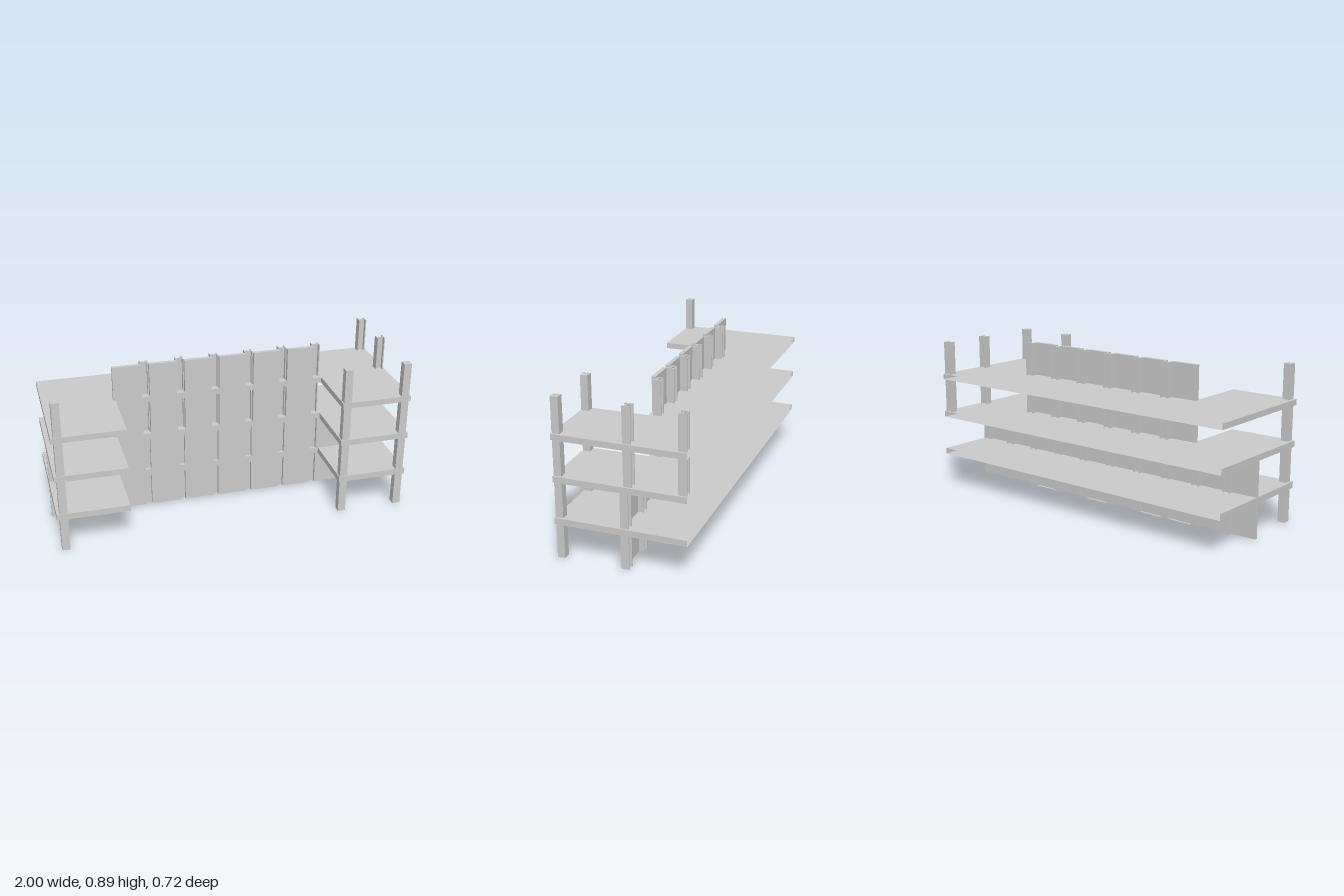
import * as THREE from 'three';

const material = new THREE.MeshStandardMaterial({ color: 0xcccccc, flatShading: true, side: THREE.DoubleSide });

function add(parent, geometry, name) {
  const mesh = new THREE.Mesh(geometry, material);
  mesh.name = name;
  parent.add(mesh);
  return mesh;
}

// Box given by its limits on each axis
function block(parent, name, [x0, x1], [y0, y1], [z0, z1]) {
  const mesh = add(parent, new THREE.BoxGeometry(x1 - x0, y1 - y0, z1 - z0), name);
  mesh.position.set((x0 + x1) / 2, (y0 + y1) / 2, (z0 + z1) / 2);
  return mesh;
}

// Upright H-section: two side flanges and a web between them
function hColumn(parent, name, x, [y0, y1], [z0, z1]) {
  const group = new THREE.Group();
  group.name = name;
  const half = 0.0225, t = 0.006, mid = (z0 + z1) / 2;
  block(group, 'flange', [x - half, x - half + t], [y0, y1], [z0, z1]);
  block(group, 'flange', [x + half - t, x + half], [y0, y1], [z0, z1]);
  block(group, 'web', [x - half + t, x + half - t], [y0, y1], [mid - t / 2, mid + t / 2]);
  parent.add(group);
}

// U-shaped floor: top and bottom skins with edge strips, open along the back
function floorSlab(parent, y0, y1) {
  const group = new THREE.Group();
  group.name = 'floorSlab';
  const outline = [
    [1, -0.36], [1, 0.36], [0.6, 0.36], [0.6, 0],
    [-0.6, 0], [-0.6, 0.36], [-1, 0.36], [-1, -0.36],
  ];
  const shape = new THREE.Shape(outline.map(([x, z]) => new THREE.Vector2(x, -z)));
  for (const [y, name] of [[y1, 'topSkin'], [y0, 'bottomSkin']]) {
    const skin = new THREE.ShapeGeometry(shape);
    skin.rotateX(-Math.PI / 2);
    if (y === y0) {
      // turn the lower skin to face down
      const index = skin.index.array;
      for (let i = 0; i < index.length; i += 3) [index[i], index[i + 1]] = [index[i + 1], index[i]];
      skin.computeVertexNormals();
    }
    add(group, skin, name).position.y = y;
  }
  for (let i = 0; i < outline.length - 1; i++) {
    const [ax, az] = outline[i], [bx, bz] = outline[i + 1];
    const dx = bx - ax, dz = bz - az;
    const edge = add(group, new THREE.PlaneGeometry(Math.hypot(dx, dz), y1 - y0), 'edgeStrip');
    edge.position.set((ax + bx) / 2, (y0 + y1) / 2, (az + bz) / 2);
    edge.rotation.y = Math.atan2(dz, -dx);
  }
  parent.add(group);
}

export function createModel() {
  const model = new THREE.Group();
  model.name = 'buildingFrame';

  const slabs = [[0.2, 0.235], [0.433, 0.467], [0.664, 0.697]];
  slabs.forEach(([y0, y1]) => floorSlab(model, y0, y1));
  const storeys = [[0.005, 0.2], [0.235, 0.433], [0.467, 0.664], [0.697, 0.892]];

  const columnX = (k) => 0.967 - k * 0.1995;
  const half = 0.0225;

  storeys.forEach((y, level) => {
    const lower = level < 2;

    // Square columns at the front of the wings
    for (const x of [-0.962, 0.628, 0.967]) {
      block(model, 'frontColumn', [x - 0.022, x + 0.022], y, [0.315, 0.357]);
    }

    // Steel columns behind the wall line
    for (let k = lower ? 0 : 2; k < (lower ? 10 : 8); k++) {
      const covered = k < 2 || k > 7;
      hColumn(model, 'wallColumn', columnX(k), y, lower ? [-0.045, covered ? -0.005 : 0] : [-0.067, -0.022]);
    }

    // Wall panels in the middle bays
    for (let k = 2; k < 8; k++) {
      const right = columnX(k) - half;
      const left = k < 7 ? columnX(k + 1) + half : -0.612;
      if (level === 0 && k === 5) {
        // bay with the door
        const d0 = -0.145, d1 = -0.075, top = 0.15;
        block(model, 'wallPanel', [left, d0], y, [-0.022, 0]);
        block(model, 'wallPanel', [d1, right], y, [-0.022, 0]);
        block(model, 'wallPanel', [d0, d1], [top, y[1]], [-0.022, 0]);
        block(model, 'door', [d0, d1], [y[0], top], [-0.019, -0.003]);
      } else {
        block(model, 'wallPanel', [left, right], y, [-0.022, 0]);
      }
    }

    if (lower) {
      // Unbroken walls under the wings
      block(model, 'wingWall', [-1, -0.803], y, [-0.015, 0]);
      block(model, 'wingWall', [-0.803, -0.612], y, [-0.015, 0]);
      block(model, 'wingWall', [columnX(2) + half, 0.988], y, [-0.015, 0]);
    } else {
      // Upper side columns at one end
      hColumn(model, 'sideColumn', 0.967, y, [-0.067, -0.022]);
      hColumn(model, 'sideColumn', 0.967, y, [-0.355, -0.311]);
    }
  });

  // Low sills under some ground floor bays
  for (const k of [2, 4, 6, 7]) {
    block(model, 'sill', [columnX(k + 1) + half, columnX(k) - half], [0, 0.006], [-0.035, -0.018]);
  }
  return model;
}
